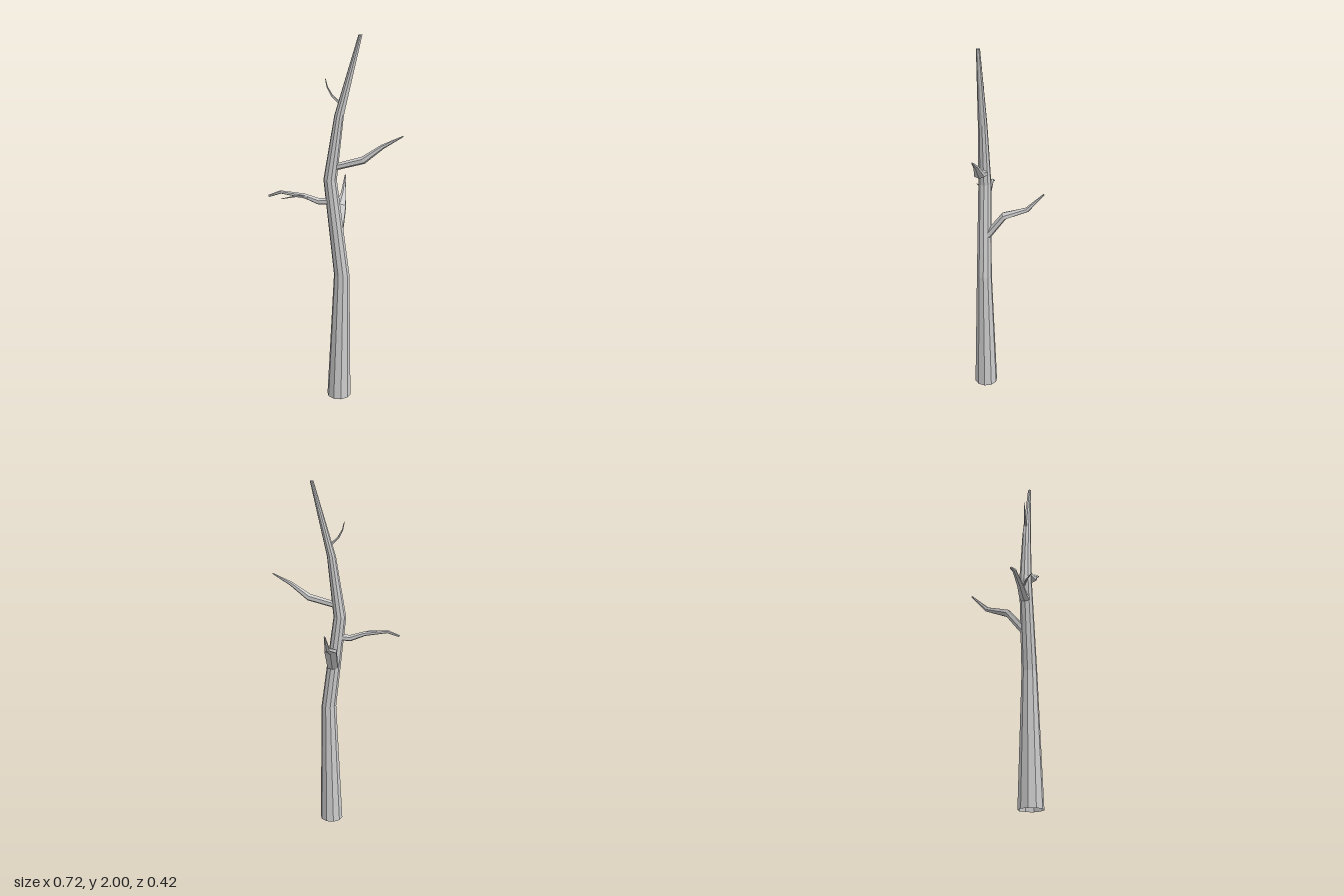
import * as THREE from 'three';

const material = new THREE.MeshStandardMaterial({ color: 0xcccccc, flatShading: true, side: THREE.DoubleSide });
const UP = new THREE.Vector3(0, 1, 0);

// Lofts a faceted limb through stations [x, y, z, half width, half height].
// side = direction of the width; level keeps every ring horizontal.
function limb(name, stations, { sides = 6, side, turn = Math.PI / 6, level = false }) {
  const points = stations.map(([x, y, z]) => new THREE.Vector3(x, y, z));
  const last = points.length - 1;
  const positions = [], index = [];

  points.forEach((p, i) => {
    const back = p.clone().sub(points[Math.max(i - 1, 0)]).normalize();
    const ahead = points[Math.min(i + 1, last)].clone().sub(p).normalize();
    const tangent = level ? UP : back.add(ahead).normalize();
    const u = side.clone().addScaledVector(tangent, -side.dot(tangent)).normalize();
    const v = tangent.clone().cross(u);
    const [, , , width, height = width] = stations[i];
    for (let k = 0; k < sides; k++) {
      const a = turn + (k / sides) * Math.PI * 2;
      const q = p.clone().addScaledVector(u, Math.cos(a) * width).addScaledVector(v, Math.sin(a) * height);
      positions.push(q.x, q.y, q.z);
    }
  });

  for (let i = 0; i < last; i++) {
    for (let k = 0; k < sides; k++) {
      const a = i * sides + k, b = i * sides + (k + 1) % sides;
      index.push(a, b, b + sides, a, b + sides, a + sides);
    }
  }
  // closed tip, open root
  const tip = last * sides;
  for (let k = 1; k < sides - 1; k++) index.push(tip, tip + k, tip + k + 1);

  const geometry = new THREE.BufferGeometry();
  geometry.setAttribute('position', new THREE.Float32BufferAttribute(positions, 3));
  geometry.setIndex(index);
  geometry.computeVertexNormals();
  const mesh = new THREE.Mesh(geometry, material);
  mesh.name = name;
  return mesh;
}

export function createModel() {
  const group = new THREE.Group();
  group.name = 'bareTree';
  const alongX = new THREE.Vector3(1, 0, 0);
  const alongZ = new THREE.Vector3(0, 0, 1);
  const z = 0.121;

  // Ten-sided trunk, open at the foot
  group.add(limb('trunk', [
    [0.023, 0, z, 0.067],
    [0.038, 0.73, z, 0.043],
    [-0.025, 1.26, z, 0.036],
    [0.023, 1.6, z, 0.025],
    [0.13, 2, z, 0.01],
  ], { sides: 10, side: alongX, turn: 0, level: true }));

  // Three main branches
  group.add(limb('leftBranch', [
    [-0.01, 1.325, z, 0.022, 0.018],
    [0.15, 1.368, z, 0.031, 0.02],
    [0.25, 1.441, z, 0.014, 0.012],
    [0.357, 1.498, z, 0.004, 0.003],
  ], { side: alongZ }));

  group.add(limb('rightBranch', [
    [-0.01, 1.145, z, 0.03, 0.02],
    [-0.085, 1.139, z, 0.027, 0.018],
    [-0.165, 1.167, z, 0.018, 0.013],
    [-0.295, 1.184, z, 0.011, 0.009],
    [-0.362, 1.16, z, 0.008, 0.006],
  ], { side: alongZ }));

  group.add(limb('backBranch', [
    [0.012, 0.972, 0.1, 0.034, 0.022],
    [0.012, 1.088, 0.01, 0.038, 0.02],
    [0.012, 1.13, -0.115, 0.015, 0.014],
    [0.012, 1.224, -0.207, 0.004, 0.004],
  ], { side: alongX }));

  // Thin twigs
  group.add(limb('upperTwig', [
    [0.022, 1.665, 0.117, 0.008],
    [-0.015, 1.7, 0.121, 0.006],
    [-0.038, 1.742, 0.124, 0.004],
    [-0.048, 1.785, 0.124, 0.002],
  ], { sides: 5, side: alongZ }));

  group.add(limb('rightTwig', [
    [-0.14, 1.158, 0.125, 0.009],
    [-0.165, 1.166, 0.148, 0.007],
    [-0.2, 1.174, 0.167, 0.005],
    [-0.272, 1.167, 0.21, 0.002],
  ], { sides: 5, side: alongZ }));

  return group;
}
